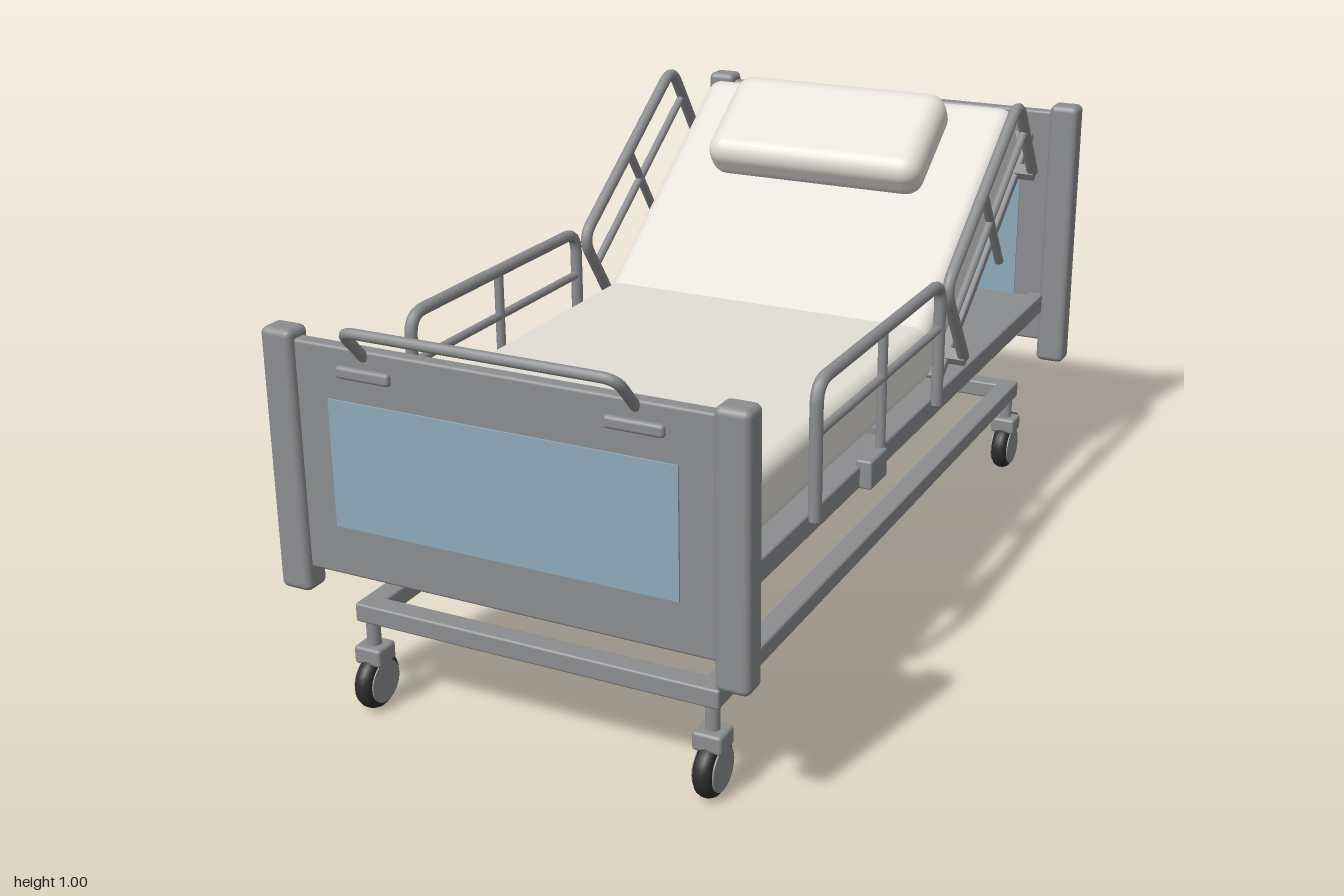
import * as THREE from 'three';
import { RoundedBoxGeometry } from 'three/addons/geometries/RoundedBoxGeometry.js';

const mat = (name, color) => Object.assign(new THREE.MeshStandardMaterial({ color }), { name });

export function createModel() {
  const grey = mat('grey metal', 0x8c8d8f);
  const cream = mat('cream fabric', 0xe2dfd7);
  const blue = mat('blue panel', 0x8eaabb);
  const black = mat('black rubber', 0x2c2c2c);

  const bed = new THREE.Group();
  bed.name = 'adjustableBed';

  const add = (parent, name, geo, material, x = 0, y = 0, z = 0) => {
    const m = new THREE.Mesh(geo, material);
    m.name = name;
    m.position.set(x, y, z);
    parent.add(m);
    return m;
  };
  // Rounded box given by its limits on each axis
  const box = (parent, name, material, [x0, x1], [y0, y1], [z0, z1], r = 0.005) =>
    add(parent, name, new RoundedBoxGeometry(x1 - x0, y1 - y0, z1 - z0, 3, r), material,
      (x0 + x1) / 2, (y0 + y1) / 2, (z0 + z1) / 2);
  const group = (parent, name, x = 0, y = 0, z = 0) => {
    const g = new THREE.Group();
    g.name = name;
    g.position.set(x, y, z);
    parent.add(g);
    return g;
  };
  // Bent tube through points with rounded corners
  const tube = (parent, name, points, r, bend = 0.04) => {
    const p = points.map(a => new THREE.Vector3(...a));
    const path = new THREE.CurvePath();
    let from = p[0];
    for (let i = 1; i < p.length - 1; i++) {
      const a = p[i].clone().add(p[i - 1].clone().sub(p[i]).setLength(bend));
      const b = p[i].clone().add(p[i + 1].clone().sub(p[i]).setLength(bend));
      path.add(new THREE.LineCurve3(from, a));
      path.add(new THREE.QuadraticBezierCurve3(a, p[i], b));
      from = b;
    }
    path.add(new THREE.LineCurve3(from, p[p.length - 1]));
    return add(parent, name, new THREE.TubeGeometry(path, points.length > 2 ? 80 : 1, r, 12), grey);
  };

  // Head and foot boards: posts, panel, blue inlays and grip slots on both faces
  const board = (name, z, postTop, panelTop, blueTop) => {
    const g = group(bed, name, 0, 0, z);
    for (const s of [-1, 1])
      box(g, 'post', grey, s < 0 ? [-0.488, -0.42] : [0.42, 0.488], [0.28, postTop], [-0.029, 0.029], 0.014);
    box(g, 'panel', grey, [-0.43, 0.43], [0.33, panelTop], [-0.015, 0.015], 0.006);
    for (const f of [-1, 1]) {
      add(g, 'blueInlay', new THREE.BoxGeometry(0.706, blueTop - 0.43, 0.005), blue,
        0, (blueTop + 0.43) / 2, f * 0.0165);
      for (const s of [-1, 1])
        add(g, 'grip', new RoundedBoxGeometry(0.115, 0.024, 0.016, 3, 0.007), grey,
          s * 0.272, panelTop - 0.046, f * 0.017);
    }
  };
  board('footboard', 0.915, 0.8, 0.782, 0.68);
  board('headboard', -0.914, 0.926, 0.908, 0.805);

  // Bar above the footboard
  tube(bed, 'footBar', [[-0.272, 0.768, 0.925], [-0.272, 0.837, 0.99],
    [0.272, 0.837, 0.99], [0.272, 0.768, 0.925]], 0.01, 0.03);

  // Lying frame and fixed deck
  for (const s of [-1, 1])
    box(bed, 'sideFrame', grey, s < 0 ? [-0.428, -0.392] : [0.392, 0.428], [0.405, 0.452], [-0.9, 0.9]);
  for (const z of [-0.87, 0.87])
    box(bed, 'crossFrame', grey, [-0.4, 0.4], [0.408, 0.448], [z - 0.017, z + 0.017]);
  add(bed, 'fixedDeck', new THREE.BoxGeometry(0.79, 0.014, 0.98), grey, 0, 0.443, -0.38);

  // Flat mattress
  box(bed, 'mattress', cream, [-0.39, 0.39], [0.452, 0.583], [-0.215, 0.885], 0.032);

  // Side guard in a z-y plane: loop, middle post and middle bar
  const sideGuard = (parent, name, x, z0, z1, y0, y1, yMid) => {
    const g = group(parent, name, x);
    tube(g, 'guardLoop', [[0, y0, z0], [0, y1, z0], [0, y1, z1], [0, y0, z1]], 0.013, 0.045);
    const zm = (z0 + z1) / 2;
    tube(g, 'guardPost', [[0, y0, zm], [0, y1, zm]], 0.01);
    tube(g, 'guardBar', [[0, yMid, z0], [0, yMid, z1]], 0.009);
  };

  // Raised backrest with its deck, mattress, pillow and guards
  const back = group(bed, 'backrest', 0, 0.455, -0.215);
  back.rotation.x = THREE.MathUtils.degToRad(35);
  box(back, 'backDeck', grey, [-0.405, 0.405], [-0.018, 0.004], [-0.73, 0.0]);
  box(back, 'backMattress', cream, [-0.39, 0.39], [0.004, 0.137], [-0.69, 0.005], 0.032);
  box(back, 'pillow', cream, [-0.263, 0.263], [0.13, 0.235], [-0.63, -0.37], 0.042);

  for (const s of [-1, 1]) {
    sideGuard(back, 'backGuard', s * 0.437, -0.61, -0.065, 0, 0.235, 0.14);
    sideGuard(bed, 'seatGuard', s * 0.437, -0.1, 0.552, 0.44, 0.71, 0.61);
    add(bed, 'guardBracket', new RoundedBoxGeometry(0.035, 0.06, 0.085, 2, 0.005), grey, s * 0.435, 0.435, 0.267);
    for (const z of [-0.61, -0.065])
      add(back, 'guardMount', new THREE.BoxGeometry(0.045, 0.02, 0.03), grey, s * 0.42, -0.004, z);
  }

  // Lift columns and motor cover
  for (const z of [-0.507, 0.495])
    box(bed, 'liftColumn', grey, [-0.088, 0.088], [0.265, 0.405], [z - 0.06, z + 0.06], 0.018);
  box(bed, 'motorCover', grey, [-0.272, 0.272], [0.228, 0.274], [-0.685, 0.672], 0.018);

  // Base frame
  for (const s of [-1, 1]) {
    box(bed, 'baseSide', grey, s < 0 ? [-0.388, -0.343] : [0.343, 0.388], [0.188, 0.227], [-0.858, 0.855]);
    box(bed, 'baseEnd', grey, [-0.388, 0.388], [0.188, 0.227],
      s < 0 ? [-0.858, -0.813] : [0.81, 0.855]);
  }

  // Casters, with brake levers at the head end
  for (const x of [-0.365, 0.365])
    for (const z of [-0.842, 0.832]) {
      const c = group(bed, 'caster', x, 0, z);
      add(c, 'stem', new THREE.CylinderGeometry(0.014, 0.014, 0.08, 16), grey, 0, 0.16, 0);
      box(c, 'fork', grey, [-0.03, 0.03], [0.098, 0.136], [-0.028, 0.028], 0.007);
      const tyre = [[0, -0.019], [0.045, -0.019], [0.053, -0.014], [0.057, -0.005],
        [0.057, 0.005], [0.053, 0.014], [0.045, 0.019], [0, 0.019]];
      const wheel = add(c, 'tyre', new THREE.LatheGeometry(
        tyre.map(p => new THREE.Vector2(...p)), 32), black, 0, 0.057, 0);
      wheel.rotation.z = Math.PI / 2;
      const hub = add(c, 'hub', new THREE.CylinderGeometry(0.043, 0.043, 0.044, 32), grey, 0, 0.057, 0);
      hub.rotation.z = Math.PI / 2;
      if (z < 0) box(c, 'brakeLever', black, [-0.014, 0.014], [0.112, 0.124], [-0.063, -0.02], 0.004);
    }

  // Pole holder at the head corner
  box(bed, 'poleBracket', grey, [-0.45, -0.41], [0.39, 0.43], [-0.985, -0.935]);
  add(bed, 'poleCollar', new THREE.CylinderGeometry(0.025, 0.025, 0.04, 20), grey, -0.43, 0.41, -0.973);
  add(bed, 'pole', new THREE.CylinderGeometry(0.013, 0.013, 0.16, 16), grey, -0.43, 0.49, -0.973);

  return bed;
}
